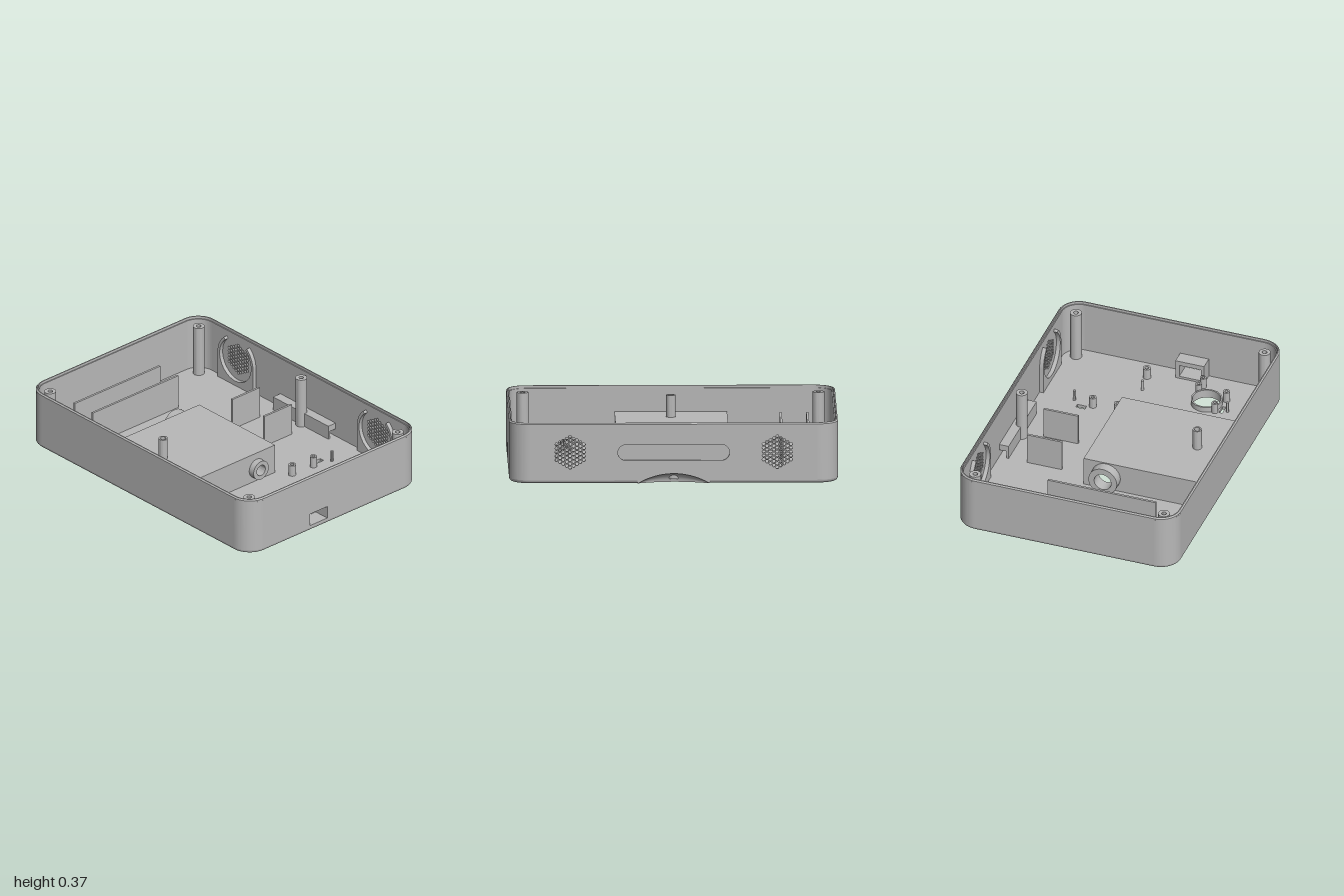
import * as THREE from 'three';
import { toCreasedNormals } from 'three/addons/utils/BufferGeometryUtils.js';

const HX = 1, HZ = 0.71, H = 0.372, R = 0.13, W = 0.02, NOTCH = 0.22;
const grey = new THREE.MeshStandardMaterial({ color: 0xb8b8b8, side: THREE.DoubleSide });
grey.name = 'grey plastic';

export function createModel() {
  const model = new THREE.Group();
  model.name = 'openCase';

  const add = (name, geo) => {
    const mesh = new THREE.Mesh(toCreasedNormals(geo, 0.6), grey);
    mesh.name = name;
    model.add(mesh);
    return mesh;
  };
  const box = (name, x0, x1, y0, y1, z0, z1) =>
    add(name, new THREE.BoxGeometry(x1 - x0, y1 - y0, z1 - z0)
      .translate((x0 + x1) / 2, (y0 + y1) / 2, (z0 + z1) / 2));

  // Shape helpers
  const poly = (pts) => new THREE.Shape(pts.map(([a, b]) => new THREE.Vector2(a, b)));
  const rect = (a0, a1, b0, b1) => poly([[a0, b0], [a1, b0], [a1, b1], [a0, b1]]);
  const circle = (a, b, r, n = 32, turn = 0) => poly(Array.from({ length: n }, (_, i) => {
    const t = turn + i / n * Math.PI * 2;
    return [a + r * Math.cos(t), b + r * Math.sin(t)];
  }));
  const slot = (half, b, r) => {
    const s = new THREE.Shape();
    s.absarc(half - r, b, r, -Math.PI / 2, Math.PI / 2, false);
    s.absarc(r - half, b, r, Math.PI / 2, Math.PI * 1.5, false);
    return s;
  };
  const extrude = (shape, holes, depth) => {
    shape.holes.push(...holes);
    return new THREE.ExtrudeGeometry(shape, { depth, bevelEnabled: false, curveSegments: 12 });
  };
  // Plan shapes (x, z), elevation shapes (x, y) and side shapes (z, y)
  const plan = (name, shape, holes, y0, y1) =>
    add(name, extrude(shape, holes, y1 - y0).rotateX(Math.PI / 2).translate(0, y1, 0));
  const elevation = (name, shape, holes, z0, z1) =>
    add(name, extrude(shape, holes, z1 - z0).translate(0, 0, z0));
  const side = (name, shape, holes, x0, x1) =>
    add(name, extrude(shape, holes, x1 - x0).rotateY(-Math.PI / 2).translate(x1, 0, 0));
  const tube = (name, x, z, ro, ri, y0, y1) =>
    add(name, new THREE.LatheGeometry([[ri, y0], [ro, y0], [ro, y1], [ri, y1], [ri, y0]]
      .map(([a, b]) => new THREE.Vector2(a, b)), 28).translate(x, 0, z));

  // Rounded rectangle path, starting and ending on the back edge
  const outline = (inset, gap) => {
    const pts = [[-gap, inset - HZ]];
    [[-1, -1, 1.5], [-1, 1, 1], [1, 1, 0.5], [1, -1, 0]].forEach(([sx, sz, q]) => {
      for (let i = 0; i <= 10; i++) {
        const t = (q - i / 20) * Math.PI;
        pts.push([sx * (HX - R) + (R - inset) * Math.cos(t), sz * (HZ - R) + (R - inset) * Math.sin(t)]);
      }
    });
    pts.push([gap, inset - HZ]);
    return pts;
  };
  // Sweep a closed (inset, y) profile along the outline
  const sweep = (name, profile, gap) => {
    const rings = profile.map(([inset, y]) => outline(inset, gap).map(([x, z]) => [x, y, z]));
    const n = rings[0].length, m = rings.length, index = [];
    for (let j = 0; j < m; j++) {
      for (let i = 0; i < n - 1; i++) {
        const a = j * n + i, b = ((j + 1) % m) * n + i;
        index.push(a, a + 1, b, b, a + 1, b + 1);
      }
    }
    const geo = new THREE.BufferGeometry();
    geo.setAttribute('position', new THREE.Float32BufferAttribute(rings.flat(2), 3));
    geo.setIndex(index);
    add(name, geo);
  };

  // Rounded bottom edge and stepped rim
  const fillet = Array.from({ length: 6 }, (_, i) => {
    const t = i / 5 * Math.PI / 2;
    return [W * (1 - Math.sin(t)), W * (1 - Math.cos(t))];
  });
  sweep('bottomEdge', [...fillet, [W, W]], NOTCH);
  const rimY = 0.355;
  sweep('rim', [[0, rimY], [0, H - 0.008], [0.008, H], [0.014, H], [0.014, rimY]], 0);

  // Corner walls
  [0, 1, 2, 3].forEach((q) => {
    const cx = (q === 0 || q === 3 ? 1 : -1) * (HX - R), cz = (q < 2 ? 1 : -1) * (HZ - R);
    const s = new THREE.Shape(), a = q * Math.PI / 2, b = a + Math.PI / 2;
    s.absarc(cx, cz, R, a, b, false);
    s.absarc(cx, cz, R - W, b, a, true);
    plan('cornerWall', s, [], W, rimY);
  });

  // Straight walls; the right one has a socket opening
  const lx = HX - R, lz = HZ - R;
  box('frontWall', -lx, lx, W, rimY, HZ - W, HZ);
  box('leftWall', -HX, W - HX, W, rimY, -lz, lz);
  const socket = () => rect(0.06, 0.2, 0.035, 0.115);
  side('socketWall', rect(-lz, lz, W, rimY), [socket()], HX - W, HX);
  side('socketTunnel', rect(0.035, 0.22, W, 0.145), [socket()], 0.895, HX - W);

  // Back wall with speaker grilles, long recess and finger notch
  const bulge = (x) => 1 - (x / NOTCH) ** 2;
  const arch = Array.from({ length: 21 }, (_, i) => (i / 10 - 1) * NOTCH);
  const grille = [];
  for (const cx of [-0.63, 0.63]) {
    for (let q = -4; q <= 4; q++) {
      for (let r = -4; r <= 4; r++) {
        if (Math.abs(q + r) > 4) continue;
        grille.push(circle(cx + q * 0.0208, 0.193 + (r + q / 2) * 0.024, 0.0098, 6));
      }
    }
  }
  const backShape = poly([[-lx, W], [-NOTCH, W], ...arch.map((x) => [x, 0.06 * bulge(x)]),
    [NOTCH, W], [lx, W], [lx, rimY], [-lx, rimY]]);
  elevation('backWall', backShape, [...grille, slot(0.34, 0.19, 0.048)], -HZ, W - HZ);
  elevation('recessPanel', slot(0.34, 0.19, 0.048), [], -HZ + 0.01, W - HZ);

  // Hollow scoop of the finger notch and its inner cover
  const scoop = new THREE.PlaneGeometry(1, 1, 20, 8), p = scoop.attributes.position;
  for (let i = 0; i < p.count; i++) {
    const x = p.getX(i) * 2 * NOTCH, t = (p.getY(i) + 0.5) * Math.PI / 2;
    p.setXYZ(i, x, 0.06 * bulge(x) * Math.sin(t), -HZ + 0.06 * bulge(x) * Math.cos(t));
  }
  add('notchScoop', scoop);
  box('notchCover', -0.25, 0.25, 0.07, 0.11, W - HZ, -0.63);
  box('notchCoverFront', -0.25, 0.25, W, 0.07, -0.645, -0.63);

  // Floor with battery opening, round vent and small slots
  const bx0 = -0.345, bx1 = 0.34, bz0 = -0.11, bz1 = HZ - W, t = 0.02;
  const floor = poly([...outline(W, NOTCH),
    ...[...arch].reverse().slice(1, -1).map((x) => [x, Math.max(W - HZ, -HZ + 0.06 * bulge(x))])]);
  plan('floor', floor, [
    rect(bx0 + t, bx1 - t, bz0 + t, bz1 - 0.002),
    circle(0.707, 0.305, 0.087, 40),
    rect(0.397, 0.427, -0.43, -0.37),
    rect(0.64, 0.705, 0.408, 0.43),
  ], 0, W);

  // Battery compartment
  plan('compartmentRoof', rect(bx0, bx1, bz0, bz1), [circle(0, 0.5, 0.018)], 0.185, 0.21);
  box('compartmentBack', bx0, bx1, W, 0.185, bz0, bz0 + t);
  side('compartmentLeft', rect(bz0, bz1, W, 0.185), [circle(0.035, 0.11, 0.055)], bx0, bx0 + t);
  side('compartmentRight', rect(bz0, bz1, W, 0.185), [circle(0.04, 0.105, 0.035)], bx1 - t, bx1);
  side('largeCableCollar', circle(0.035, 0.112, 0.092, 40), [circle(0.035, 0.11, 0.055)], -0.408, bx0);
  side('smallCableCollar', circle(0.04, 0.105, 0.062, 40), [circle(0.04, 0.105, 0.035)], bx1, 0.38);
  tube('compartmentPost', 0, 0.5, 0.028, 0.018, 0.21, 0.345);

  // Lid screw posts
  for (const [x, z] of [[-0.9, -0.61], [0.9, -0.61], [-0.9, 0.61], [0.9, 0.61], [0, -0.635]]) {
    tube('screwPost', x, z, 0.036, 0.015, W, 0.345);
  }

  // Speaker cradles on the back wall, open at the top
  for (const cx of [-0.63, 0.63]) {
    const s = new THREE.Shape(), cy = 0.193, end = 0.87;
    s.moveTo(cx - 0.16, W);
    s.lineTo(cx + 0.16, W);
    s.absarc(cx, cy, 0.16, 0, end, false);
    s.absarc(cx, cy, 0.142, end, Math.PI - end, true);
    s.absarc(cx, cy, 0.16, Math.PI - end, Math.PI, false);
    elevation('speakerCradle', s, [], W - HZ, -0.665);
  }

  // Upright divider plates
  for (const x of [-0.83, -0.667]) box('longDivider', x - 0.007, x + 0.007, W, 0.24, -0.225, 0.475);
  for (const x of [-0.243, 0.046]) box('shortDivider', x - 0.007, x + 0.007, W, 0.225, -0.51, -0.285);

  // Vent collar, circuit board standoffs and locating pins
  tube('ventCollar', 0.707, 0.305, 0.097, 0.087, W, 0.055);
  for (const [x, z, r] of [[0.44, -0.335, 0.022], [0.43, -0.17, 0.024], [0.84, -0.13, 0.025],
    [0.86, 0.227, 0.02], [0.79, 0.223, 0.02], [0.637, 0.383, 0.02], [0.772, 0.41, 0.022]]) {
    tube('standoff', x, z, r, r * 0.5, W, 0.09);
  }
  for (const [x, z] of [[0.466, -0.463], [0.705, -0.11], [0.664, 0.455]]) {
    tube('locatingPin', x, z, 0.009, 0, W, 0.09);
  }
  return model;
}
